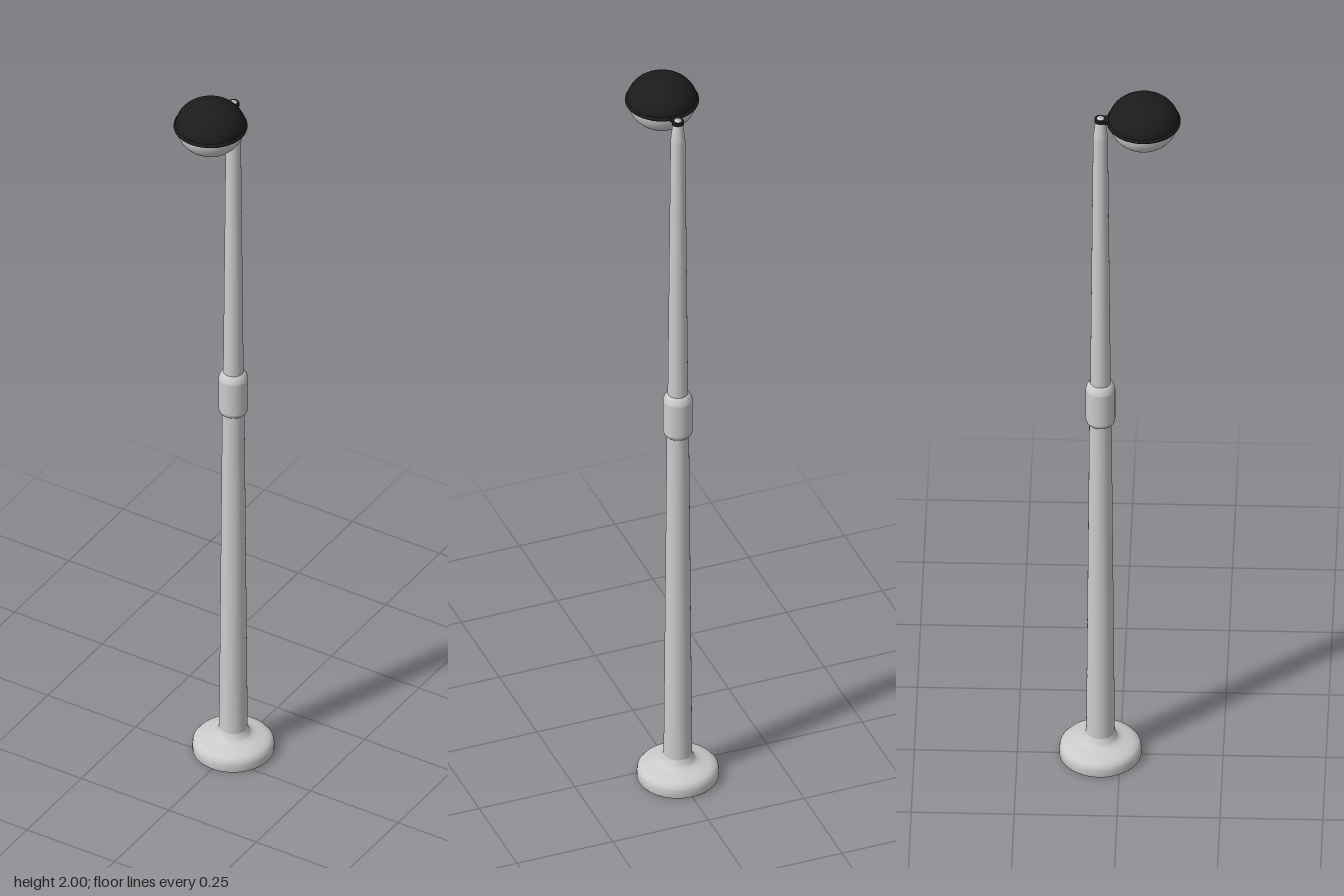
import * as THREE from 'three';

const grey = new THREE.MeshStandardMaterial({ color: 0xcccccc });
const black = new THREE.MeshStandardMaterial({ color: 0x1c1c1c });
const POLE_Z = -0.048, LAMP_Z = 0.057, RIM_Y = 1.935;

function add(group, name, geometry, material, y = 0, z = 0) {
  const mesh = new THREE.Mesh(geometry, material);
  mesh.name = name;
  mesh.position.set(0, y, z);
  group.add(mesh);
  return mesh;
}

// Lathe from [radius, height] pairs, bottom to top
function lathe(points, segments = 40) {
  return new THREE.LatheGeometry(points.map(([r, y]) => new THREE.Vector2(r, y)), segments);
}

export function createModel() {
  const model = new THREE.Group();
  model.name = 'streetLamp';

  // Rounded foot
  add(model, 'base', lathe([
    [0, 0], [0.097, 0], [0.097, 0], [0.1, 0.004], [0.1, 0.02], [0.098, 0.03], [0.091, 0.038],
    [0.078, 0.043], [0.06, 0.047], [0.047, 0.051], [0.04, 0.058], [0.035, 0.07],
  ], 48), grey, 0, POLE_Z);

  // Tapered lower shaft
  add(model, 'lowerPole', lathe([[0.035, 0.05], [0.027, 1.03]]), grey, 0, POLE_Z);

  // Collar between the two shafts
  add(model, 'collar', lathe([
    [0.025, 1.012], [0.03, 1.013], [0.034, 1.017], [0.036, 1.025], [0.036, 1.025],
    [0.036, 1.115], [0.036, 1.115], [0.034, 1.122], [0.029, 1.132], [0.022, 1.136],
  ]), grey, 0, POLE_Z);

  // Thinner upper shaft with a narrowed tip
  add(model, 'upperPole', lathe([
    [0.025, 1.12], [0.018, 1.885], [0.018, 1.885], [0.016, 1.9], [0.013, 1.926],
    [0.01, 1.936], [0.008, 1.941], [0, 1.942],
  ]), grey, 0, POLE_Z);

  // Flat bracket: ring round the pole tip, flaring into the lamp rim
  const arm = new THREE.Shape();
  arm.moveTo(-0.035, 0.032);
  arm.quadraticCurveTo(-0.014, 0.024, -0.012, 0.008);
  arm.absarc(0, 0, 0.0145, Math.PI * 0.8, Math.PI * 2.2, false);
  arm.quadraticCurveTo(0.014, 0.024, 0.035, 0.032);
  arm.closePath();
  const hole = new THREE.Path();
  hole.absarc(0, 0, 0.008, 0, Math.PI * 2, true);
  arm.holes.push(hole);
  const armGeometry = new THREE.ExtrudeGeometry(arm, { depth: 0.009, bevelEnabled: false, curveSegments: 16 });
  armGeometry.rotateX(Math.PI / 2);
  add(model, 'bracket', armGeometry, black, RIM_Y + 0.0045, POLE_Z);

  // Lamp head: dark dome, rim band and pale globe beneath
  const lamp = new THREE.Group();
  lamp.name = 'lampHead';
  lamp.position.set(0, RIM_Y, LAMP_Z);
  model.add(lamp);

  const dome = new THREE.SphereGeometry(0.086, 48, 16, 0, Math.PI * 2, 0, Math.PI / 2);
  dome.scale(1, 0.065 / 0.086, 1);
  add(lamp, 'dome', dome, black);

  add(lamp, 'rim', lathe([
    [0.08, -0.005], [0.087, -0.005], [0.0895, -0.003], [0.09, 0], [0.0895, 0.003],
    [0.087, 0.005], [0.08, 0.005],
  ], 48), black);

  const globe = new THREE.SphereGeometry(0.084, 48, 16, 0, Math.PI * 2, Math.PI / 2, Math.PI / 2);
  globe.scale(1, 0.073 / 0.084, 1);
  add(lamp, 'globe', globe, grey);

  return model;
}
